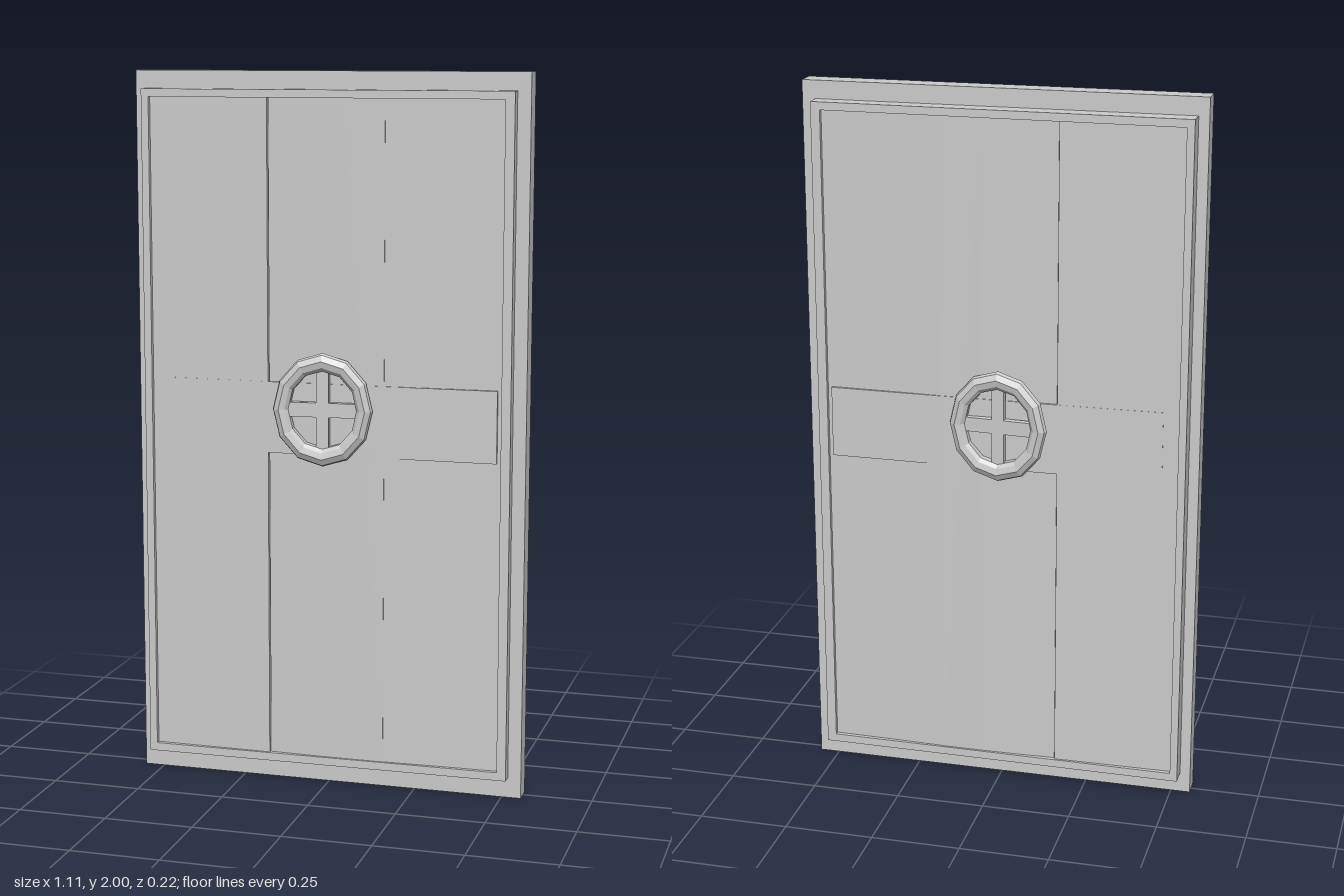
import * as THREE from 'three';

const grey = new THREE.MeshStandardMaterial({ color: 0xcccccc });

// Copy of a geometry reflected front to back, with its corner order repaired
function mirrorZ(geo) {
  const g = geo.index ? geo.toNonIndexed() : geo.clone();
  g.scale(1, 1, -1);
  for (const name of ['position', 'normal']) {
    const a = g.attributes[name];
    for (let i = 0; i < a.count; i += 3) {
      const p = new THREE.Vector3().fromBufferAttribute(a, i + 1);
      const q = new THREE.Vector3().fromBufferAttribute(a, i + 2);
      a.setXYZ(i + 1, q.x, q.y, q.z);
      a.setXYZ(i + 2, p.x, p.y, p.z);
    }
  }
  return g;
}

// Upright slab from an outline given as [x, z] points
function upright(points, y0, y1) {
  const shape = new THREE.Shape(points.map(([x, z]) => new THREE.Vector2(x, -z)));
  return new THREE.ExtrudeGeometry(shape, { depth: y1 - y0, bevelEnabled: false })
    .rotateX(-Math.PI / 2).translate(0, y0, 0);
}

function rectangle(Type, x0, y0, x1, y1) {
  return new Type([[x0, y0], [x1, y0], [x1, y1], [x0, y1]].map(p => new THREE.Vector2(...p)));
}

export function createModel() {
  const model = new THREE.Group();
  model.name = 'door';

  function add(name, geo) {
    const mesh = new THREE.Mesh(geo, grey);
    mesh.name = name;
    model.add(mesh);
  }
  function addBothFaces(name, geo) {
    add(name + 'Front', geo);
    add(name + 'Back', mirrorZ(geo).translate(0, 0, -0.003));
  }

  // Outer frame slab
  add('outerFrame', new THREE.BoxGeometry(1.11, 2, 0.058).translate(0, 1, 0.005));

  // Raised border, a little thinner towards the left side of the door
  const outline = rectangle(THREE.Shape, -0.526, 0.057, 0.518, 1.95);
  outline.holes.push(rectangle(THREE.Path, -0.505, 0.08, 0.492, 1.928));
  const border = new THREE.ExtrudeGeometry(outline, { depth: 1, bevelEnabled: false });
  const pos = border.attributes.position;
  for (let i = 0; i < pos.count; i++) {
    pos.setZ(i, pos.getZ(i) * (0.0708 - 0.0085 * pos.getX(i)));
  }
  border.computeVertexNormals();
  addBothFaces('border', border);

  // Three slightly sloping boards
  const boards = [
    [[-0.51, 0.062], [-0.167, 0.066]],
    [[-0.165, 0.059], [-0.06, 0.0625], [0.05, 0.064], [0.165, 0.0635]],
    [[0.165, 0.0625], [0.33, 0.0575], [0.5, 0.054]],
  ];
  boards.forEach((top, i) => {
    const points = [[top[0][0], 0], ...top, [top[top.length - 1][0], 0]];
    addBothFaces('board' + (i + 1), upright(points, 0.07, 1.94));
  });

  // Cross band, flush on one side and standing proud on the other
  addBothFaces('crossBand', upright(
    [[-0.46, 0], [-0.46, 0.0635], [-0.17, 0.0664], [0.16, 0.0655], [0.48, 0.0625], [0.48, 0]], 0.95, 1.15));

  // Oval hand wheel with a cross of spokes, tilted with the door face
  const place = geo => geo.rotateY(0.075).translate(-0.005, 1.08, 0.078);
  const profile = [[0.096, -0.012], [0.128, -0.012], [0.14, 0.004], [0.136, 0.015],
    [0.121, 0.024], [0.105, 0.02], [0.096, 0.01], [0.096, -0.012]];
  const ring = new THREE.LatheGeometry(profile.map(p => new THREE.Vector2(...p)), 12)
    .rotateX(Math.PI / 2).scale(1, 1.13, 1).toNonIndexed();
  ring.computeVertexNormals();
  addBothFaces('wheelRing', place(ring));
  addBothFaces('wheelSpokeUpright', place(new THREE.BoxGeometry(0.035, 0.225, 0.02)));
  addBothFaces('wheelSpokeLevel', place(new THREE.BoxGeometry(0.2, 0.04, 0.02)));

  return model;
}
